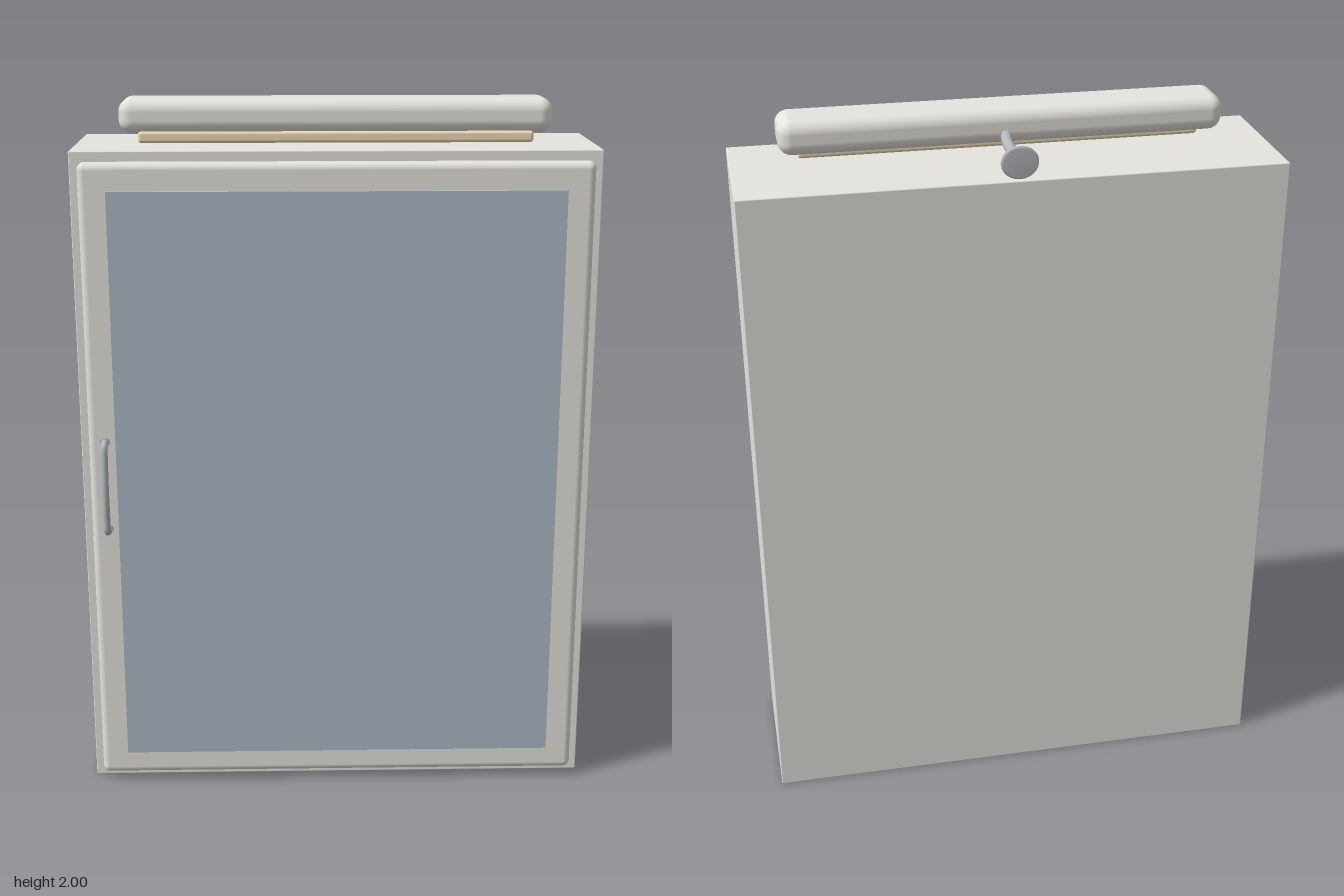
import * as THREE from 'three';
import { RoundedBoxGeometry } from 'three/addons/geometries/RoundedBoxGeometry.js';

const paint = (color) => new THREE.MeshStandardMaterial({ color });

export function createModel() {
  const model = new THREE.Group();
  const white = paint(0xe6e4de), metal = paint(0xb4b8bd);
  const glass = paint(0xaebcc6), warm = paint(0xf0deb8);

  const add = (name, geometry, material, x = 0, y = 0, z = 0, parent = model) => {
    const mesh = new THREE.Mesh(geometry, material);
    mesh.name = name;
    mesh.position.set(x, y, z);
    parent.add(mesh);
    return mesh;
  };
  const tube = (points, radius, tension = 0.2) => new THREE.TubeGeometry(
    new THREE.CatmullRomCurve3(points.map((p) => new THREE.Vector3(...p)), false, 'catmullrom', tension),
    48, radius, 16);

  // Cabinet body, door and mirror panel
  add('cabinet', new RoundedBoxGeometry(1.452, 1.87, 0.414, 2, 0.003), white, 0, 0.935, -0.055);
  add('door', new RoundedBoxGeometry(1.4, 1.815, 0.05, 5, 0.02), white, 0, 0.937, 0.178);
  add('mirror', new THREE.BoxGeometry(1.245, 1.665, 0.02), glass, 0, 0.937, 0.207);

  // Bowed pull handle on the door's right edge
  const handle = new THREE.Group();
  handle.name = 'handle';
  handle.position.set(-0.652, 0.937, 0);
  model.add(handle);
  add('grip', tube([
    [0, -0.13, 0.2], [0, -0.13, 0.225], [0, -0.123, 0.239], [0, -0.1, 0.244], [0, 0, 0.25],
    [0, 0.1, 0.244], [0, 0.123, 0.239], [0, 0.13, 0.225], [0, 0.13, 0.2],
  ], 0.01, 0.5), metal, 0, 0, 0, handle);
  for (const side of [-1, 1]) {
    const foot = add('handleFoot', new THREE.CylinderGeometry(0.013, 0.013, 0.012, 20), metal, 0, side * 0.13, 0.207, handle);
    foot.rotation.x = Math.PI / 2;
  }

  // Lamp housing with its diffuser underneath
  add('lampHousing', new RoundedBoxGeometry(1.195, 0.095, 0.15, 6, 0.036), white, 0, 1.9525, -0.003);
  add('diffuser', new RoundedBoxGeometry(1.09, 0.032, 0.076, 3, 0.009), warm, 0, 1.896, 0.025);

  // Lamp arm and round wall plate
  add('lampArm', tube([
    [0, 1.915, -0.25], [0, 1.915, -0.13], [0, 1.918, -0.1], [0, 1.93, -0.075], [0, 1.945, -0.05],
  ], 0.015, 0.5), metal);
  const profile = [[0, 0], [0.044, 0], [0.049, 0.003], [0.05, 0.008], [0.047, 0.014], [0.03, 0.018], [0, 0.019]]
    .map(([r, h]) => new THREE.Vector2(r, h));
  const plate = add('wallPlate', new THREE.LatheGeometry(profile, 40), metal, 0, 1.918, -0.262);
  plate.rotation.x = Math.PI / 2;
  plate.scale.set(1, 1, 0.88);

  return model;
}
